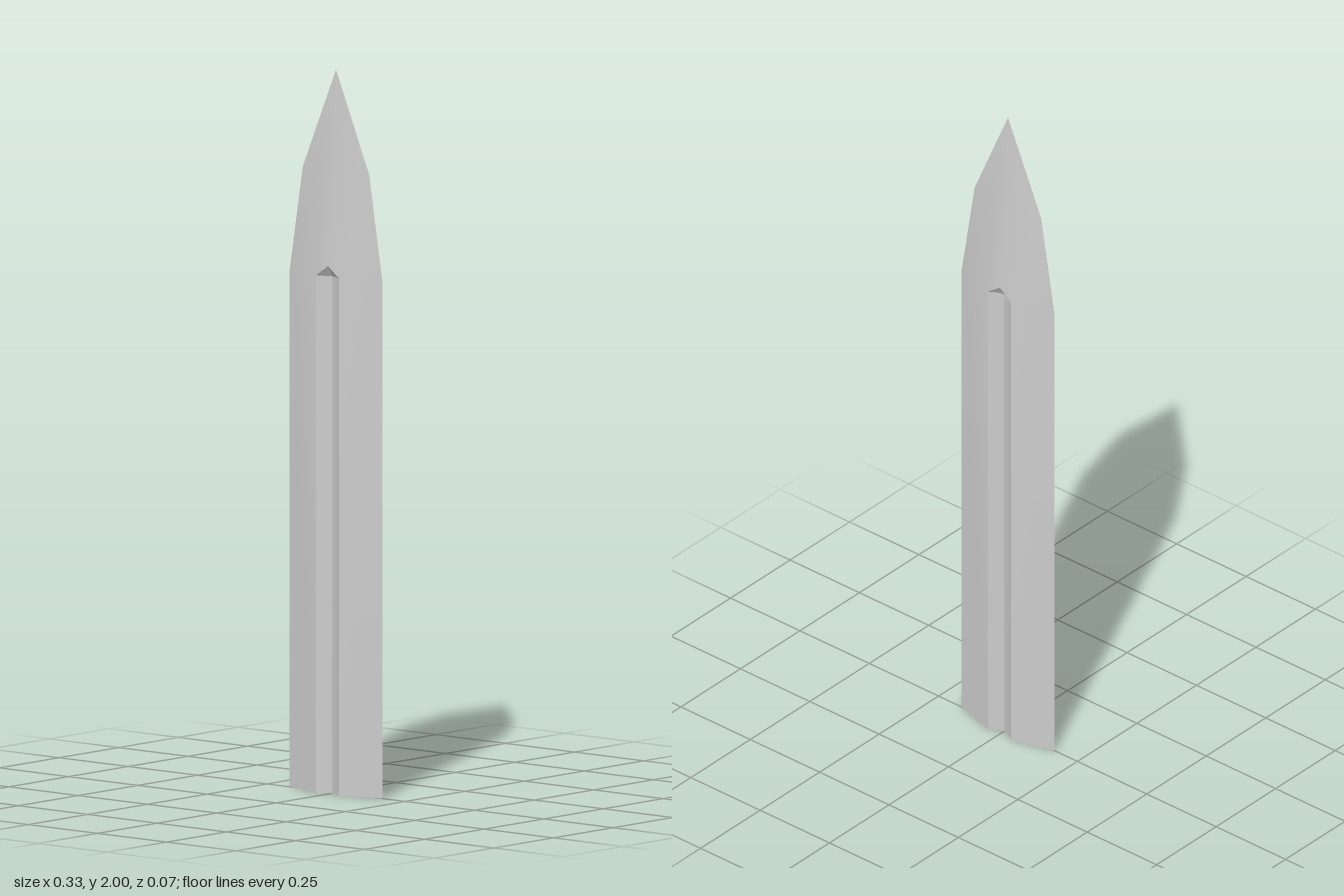
import * as THREE from 'three';
import { toCreasedNormals } from 'three/addons/utils/BufferGeometryUtils.js';

const SHOULDER = 1.43; // height where the straight blade starts to taper

// Half cross-section of one face: cutting edge, ridge, groove wall, groove floor
const section = [[0.167, 0], [0.042, 0.036], [0.021, 0.023], [0, 0.016]];

// One quarter of the blade (+x, +z) as a list of triangles
function quarterTriangles() {
  const tris = [];
  const at = ([x, z], y) => [x, y, z];

  // Straight blade and groove
  for (let i = 0; i < section.length - 1; i++) {
    const a = at(section[i], 0), b = at(section[i + 1], 0);
    const c = at(section[i + 1], SHOULDER), d = at(section[i], SHOULDER);
    tris.push([a, d, b], [b, d, c]);
  }

  // Tapered point
  const [edge, ridge, wall, floor] = section.map((p) => at(p, SHOULDER));
  const bend = [0.12, 1.72, 0];
  const tip = [0, 2, 0];
  const peak = [0, 1.46, 0.034];
  tris.push([edge, bend, ridge], [bend, tip, ridge], [ridge, tip, peak]);

  // Sloped end of the groove
  tris.push([ridge, peak, wall], [wall, peak, floor]);
  return tris;
}

export function createModel() {
  const group = new THREE.Group();
  const positions = [];

  // Mirror the quarter to all four sides, reversing corners where needed
  for (const sx of [1, -1]) {
    for (const sz of [1, -1]) {
      for (const [a, b, c] of quarterTriangles()) {
        const corners = sx * sz > 0 ? [a, b, c] : [a, c, b];
        for (const [x, y, z] of corners) positions.push(x * sx, y, z * sz);
      }
    }
  }

  const geometry = new THREE.BufferGeometry();
  geometry.setAttribute('position', new THREE.Float32BufferAttribute(positions, 3));

  // The blade is an open shell at its base
  const blade = new THREE.Mesh(
    toCreasedNormals(geometry, 0.5),
    new THREE.MeshStandardMaterial({ color: 0xcccccc, side: THREE.DoubleSide })
  );
  blade.name = 'blade';
  group.add(blade);
  return group;
}
